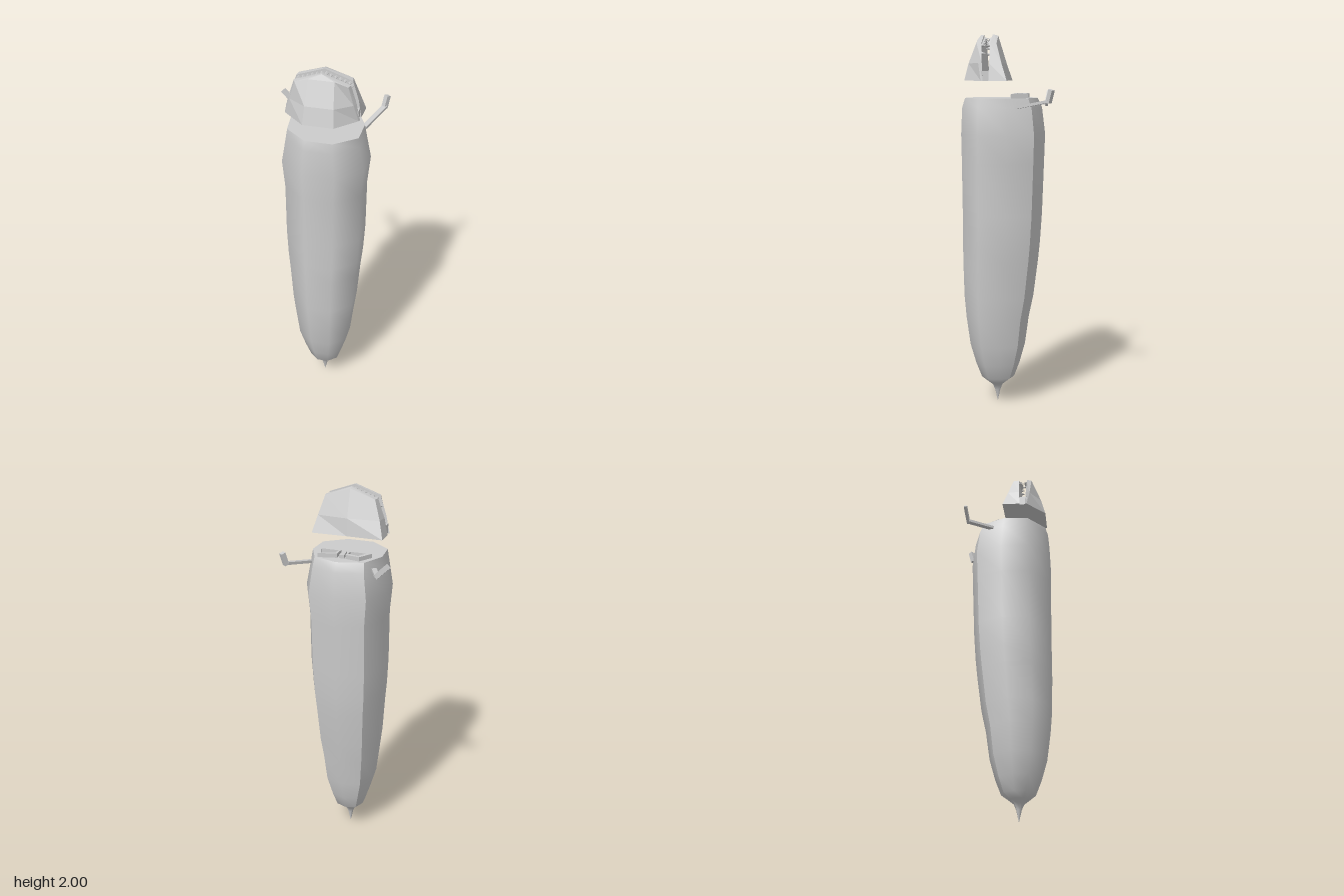
import * as THREE from 'three';

const CX = 0.012;
const smooth = new THREE.MeshStandardMaterial({ color: 0xcccccc, side: THREE.DoubleSide });
const flat = new THREE.MeshStandardMaterial({ color: 0xcccccc, side: THREE.DoubleSide, flatShading: true });

// Skin between rings of [x, y, z] points, listed from top to bottom, clockwise from above
function loft(rings, closed = false) {
  const n = rings[0].length, index = [];
  for (let i = 0; i < rings.length - 1; i++) {
    for (let j = 0; j < (closed ? n : n - 1); j++) {
      const k = (j + 1) % n;
      const a = i * n + j, b = i * n + k, c = a + n, d = b + n;
      index.push(a, b, c, b, d, c);
    }
  }
  const g = new THREE.BufferGeometry();
  g.setAttribute('position', new THREE.Float32BufferAttribute(rings.flat(2), 3));
  g.setIndex(index);
  g.computeVertexNormals();
  return g;
}

function add(parent, name, geometry, material = flat) {
  const mesh = new THREE.Mesh(geometry, material);
  mesh.name = name;
  parent.add(mesh);
  return mesh;
}

// Flat bar joining two points
function bar(parent, name, from, to, width, thickness) {
  const a = new THREE.Vector3(...from), b = new THREE.Vector3(...to);
  const mesh = add(parent, name, new THREE.BoxGeometry(width, thickness, a.distanceTo(b)));
  mesh.position.copy(a).add(b).multiplyScalar(0.5);
  mesh.lookAt(b);
}

// Shape lying on the ground plane from [x, z] corners
const toShape = (pts, Type = THREE.Shape) => new Type(pts.map(([x, z]) => new THREE.Vector2(x, -z)));

function slab(parent, name, pts, hole, y, height) {
  const shape = toShape(pts);
  if (hole) shape.holes.push(toShape(hole, THREE.Path));
  const g = new THREE.ExtrudeGeometry(shape, { depth: height, bevelEnabled: false });
  add(parent, name, g.rotateX(-Math.PI / 2)).position.y = y;
}

function buildBody(group) {
  const outline = [[-0.145, -0.15], [0.015, -0.195], [0.17, -0.145], [0.235, -0.01], [0.23, 0.145],
    [0.10, 0.245], [-0.065, 0.245], [-0.195, 0.14], [-0.21, -0.01]];
  // height, half width, back z, front z
  const levels = [
    [1.67, 0.19, -0.155, 0.225], [1.62, 0.197, -0.178, 0.24], [1.48, 0.222, -0.195, 0.245],
    [1.33, 0.207, -0.19, 0.243], [1.05, 0.205, -0.18, 0.24], [0.9, 0.197, -0.17, 0.24],
    [0.8, 0.187, -0.16, 0.24], [0.6, 0.172, -0.135, 0.235], [0.48, 0.157, -0.11, 0.225],
    [0.33, 0.14, -0.09, 0.205], [0.22, 0.107, -0.06, 0.175], [0.14, 0.08, -0.03, 0.145],
    [0.11, 0.05, 0.01, 0.11], [0.09, 0.026, 0.035, 0.087], [0.06, 0.014, 0.047, 0.075],
    [0, 0.001, 0.06, 0.062],
  ];
  const rings = levels.map(([y, hw, zb, zf]) => outline.map(([x, z]) =>
    [CX + (x - CX) * hw / 0.222, y, zb + (z + 0.195) / 0.44 * (zf - zb)]));

  // The two back corners are sharp, so back and front are separate skins
  add(group, 'bodyBack', loft(rings.map(r => r.slice(0, 3))), smooth);
  add(group, 'bodyFront', loft(rings.map(r => [...r.slice(2), r[0]])), smooth);
  add(group, 'bodyTop', loft([rings[0].map(() => [CX, 1.67, 0.04]), rings[0]], true));
}

function buildJaw(group, name, z, rings) {
  const n = rings[0].length;
  const cap = y => Array(n).fill([0.015, y, z]);
  add(group, name, loft([cap(2), ...rings, cap(1.76)], true));
}

function buildHead(group) {
  const head = new THREE.Group();
  head.name = 'head';
  group.add(head);
  buildJaw(head, 'upperJaw', 0.073, [
    [[-0.12, 1.95, 0.052], [0.015, 1.995, 0.055], [0.15, 1.95, 0.052],
      [0.155, 1.95, 0.085], [0.015, 2, 0.085], [-0.125, 1.95, 0.085]],
    [[-0.155, 1.85, 0.024], [0.015, 1.85, 0.01], [0.18, 1.85, 0.024],
      [0.185, 1.85, 0.087], [0.015, 1.85, 0.087], [-0.16, 1.85, 0.087]],
    [[-0.18, 1.76, -0.005], [0.015, 1.76, -0.002], [0.205, 1.76, -0.005],
      [0.2, 1.76, 0.09], [0.015, 1.76, 0.09], [-0.177, 1.76, 0.09]],
  ]);
  buildJaw(head, 'lowerJaw', 0.145, [
    [[-0.125, 1.95, 0.13], [0.015, 2, 0.13], [0.155, 1.95, 0.13],
      [0.147, 1.95, 0.155], [0.08, 1.972, 0.158], [-0.05, 1.972, 0.158], [-0.117, 1.95, 0.155]],
    [[-0.158, 1.85, 0.125], [0.015, 1.85, 0.125], [0.183, 1.85, 0.125],
      [0.172, 1.85, 0.145], [0.087, 1.85, 0.205], [-0.057, 1.85, 0.205], [-0.147, 1.85, 0.145]],
    [[-0.178, 1.76, 0.12], [0.015, 1.76, 0.12], [0.2, 1.76, 0.12],
      [0.195, 1.76, 0.13], [0.093, 1.76, 0.228], [-0.063, 1.76, 0.228], [-0.173, 1.76, 0.13]],
  ]);
  add(head, 'mouthFloor', new THREE.BoxGeometry(0.36, 0.05, 0.044)).position.set(CX, 1.785, 0.106);

  // Two rows of pointed teeth following the arch of the lips
  for (const [name, z, dir] of [['upperTooth', 0.095, 1], ['lowerTooth', 0.12, -1]]) {
    for (let i = 0; i < 12; i++) {
      const x = -0.112 + i * 0.0231 + (dir < 0 ? 0.004 : 0);
      const tooth = add(head, name, new THREE.ConeGeometry(0.011, 0.024, 4));
      tooth.rotation.x = dir * Math.PI / 2;
      tooth.position.set(x, 1.982 - Math.abs(x - 0.015) * 0.33, z);
    }
  }
  // Teeth running down the mouth corners
  for (const side of [-1, 1]) {
    for (let i = 0; i < 2; i++) {
      const tooth = add(head, 'cornerTooth', new THREE.ConeGeometry(0.011, 0.024, 4));
      tooth.rotation.x = (i ? -1 : 1) * Math.PI / 2;
      tooth.position.set(0.015 + side * (0.137 + i * 0.006), 1.925 - i * 0.025, i ? 0.12 : 0.095);
    }
  }
}

function buildFace(group) {
  slab(group, 'rightEyeFrame', [[-0.135, -0.03], [-0.09, -0.105], [-0.012, -0.09], [-0.012, -0.025]],
    [[-0.105, -0.038], [-0.08, -0.087], [-0.02, -0.07], [-0.02, -0.038]], 1.668, 0.024);
  slab(group, 'leftEyeFrame', [[0.034, -0.025], [0.034, -0.09], [0.13, -0.112], [0.165, -0.025]],
    [[0.046, -0.035], [0.046, -0.07], [0.118, -0.097], [0.14, -0.035]], 1.668, 0.024);
  slab(group, 'nose', [[-0.005, -0.09], [0.022, -0.09], [0.024, -0.022], [0.015, -0.01], [0.004, -0.022]],
    null, 1.668, 0.02);
}

function buildArms(group) {
  bar(group, 'leftArm', [0.188, 1.622, -0.05], [0.262, 1.658, -0.225], 0.026, 0.014);
  bar(group, 'leftHand', [0.258, 1.65, -0.222], [0.27, 1.715, -0.238], 0.024, 0.024);
  bar(group, 'rightArm', [-0.155, 1.622, -0.06], [-0.217, 1.638, -0.195], 0.026, 0.014);
  bar(group, 'rightHand', [-0.208, 1.63, -0.19], [-0.277, 1.698, -0.2], 0.014, 0.026);
}

export function createModel() {
  const group = new THREE.Group();
  buildBody(group);
  buildHead(group);
  buildFace(group);
  buildArms(group);
  return group;
}
